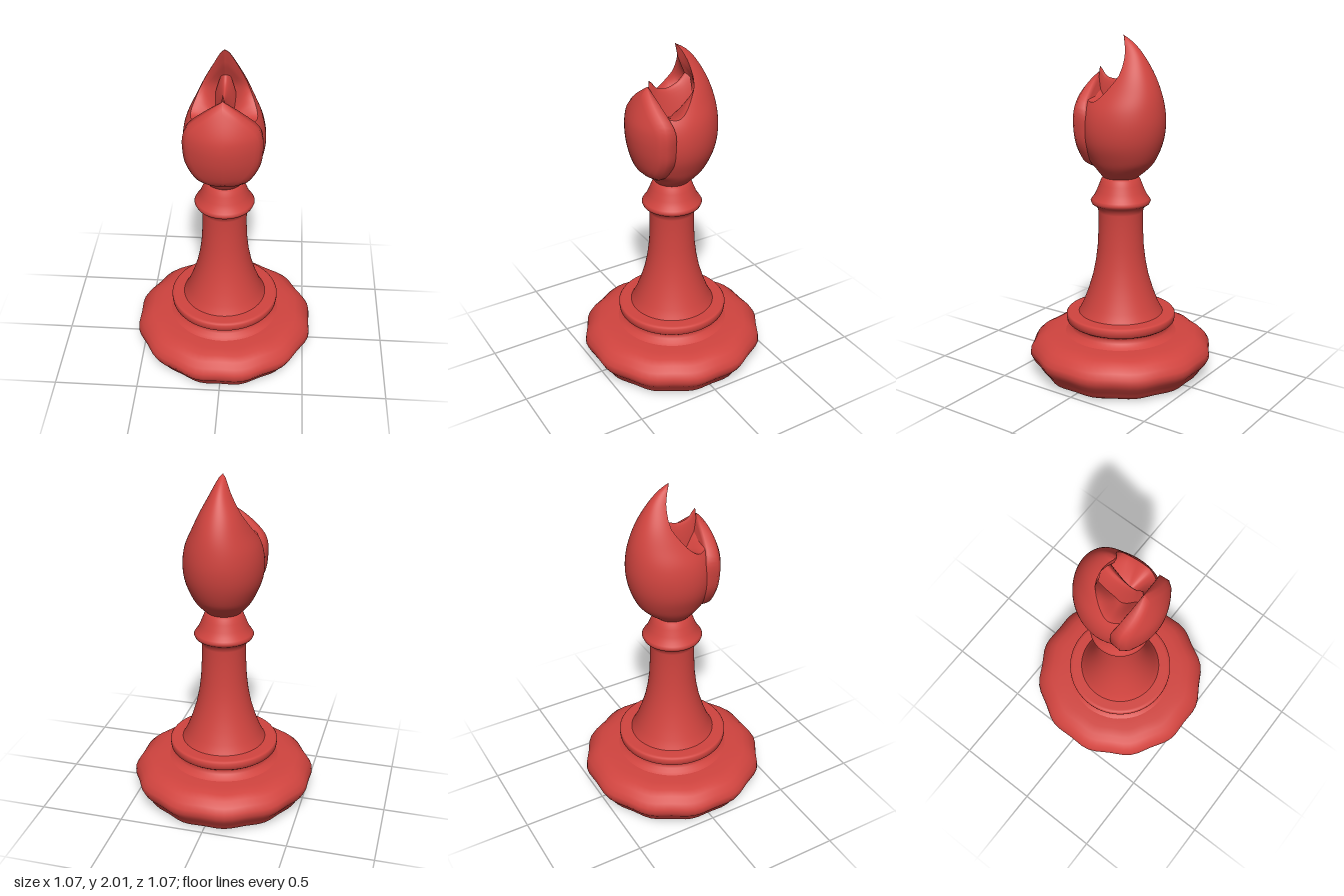
import * as THREE from 'three';
import { mergeVertices } from 'three/addons/utils/BufferGeometryUtils.js';

// Smooth interpolation through rows [key, value, value...]
function sample(rows, k, col = 1) {
  const n = rows.length - 1;
  if (k <= rows[0][0]) return rows[0][col];
  if (k >= rows[n][0]) return rows[n][col];
  let i = 0;
  while (k > rows[i + 1][0]) i++;
  const slope = (j) => {
    const a = rows[Math.max(0, j - 1)], b = rows[Math.min(n, j + 1)];
    return (b[col] - a[col]) / (b[0] - a[0]);
  };
  const h = rows[i + 1][0] - rows[i][0], t = (k - rows[i][0]) / h;
  const t2 = t * t, t3 = t2 * t;
  return (2 * t3 - 3 * t2 + 1) * rows[i][col] + (t3 - 2 * t2 + t) * h * slope(i)
    + (3 * t2 - 2 * t3) * rows[i + 1][col] + (t3 - t2) * h * slope(i + 1);
}

// Surface from a rule point(u, v) with u and v from 0 to 1
function surface(nu, nv, point) {
  const pos = [], idx = [];
  for (let j = 0; j <= nv; j++)
    for (let i = 0; i <= nu; i++) pos.push(...point(i / nu, j / nv));
  for (let j = 0; j < nv; j++)
    for (let i = 0; i < nu; i++) {
      const a = j * (nu + 1) + i, d = a + nu + 1;
      idx.push(a, a + 1, d + 1, a, d + 1, d);
    }
  const g = new THREE.BufferGeometry();
  g.setAttribute('position', new THREE.Float32BufferAttribute(pos, 3));
  g.setIndex(idx);
  const merged = mergeVertices(g, 1e-5);
  merged.computeVertexNormals();
  return merged;
}

function lathe(points) {
  return new THREE.LatheGeometry(points.map(([r, y]) => new THREE.Vector2(r, y)), 72);
}

// Head cross-sections: height, half width, back z, front z, centre z
const HEAD = [
  [1.17, 0.07, -0.07, 0.07, 0], [1.2, 0.105, -0.105, 0.105, 0], [1.25, 0.15, -0.165, 0.14, 0],
  [1.3, 0.18, -0.208, 0.185, 0], [1.4, 0.22, -0.25, 0.225, 0], [1.5, 0.23, -0.268, 0.237, 0],
  [1.6, 0.213, -0.265, 0.225, -0.01], [1.7, 0.166, -0.245, 0.19, -0.04],
  [1.8, 0.115, -0.205, 0.14, -0.07], [1.9, 0.062, -0.145, 0.02, -0.058],
  [1.96, 0.033, -0.09, 0, -0.035], [1.99, 0.015, -0.045, -0.005, -0.023], [2, 0, -0.02, -0.02, -0.02],
];
// Rim height of the notch by angle from the front, in degrees
const RIM = [[0, 1.73], [20, 1.71], [40, 1.67], [58, 1.645], [72, 1.65], [82, 1.7], [89, 1.78],
  [96, 1.88], [104, 1.96], [114, 2], [180, 2]];

function headPoint(angle, y) {
  const c = sample(HEAD, y, 4), cos = Math.cos(angle);
  const depth = cos > 0 ? sample(HEAD, y, 3) - c : c - sample(HEAD, y, 2);
  return [sample(HEAD, y) * Math.sin(angle), y, c + depth * cos];
}
const rimHeight = (angle) => sample(RIM, Math.abs(angle) * 180 / Math.PI);
const headAngle = (u) => (u * 2 - 1) * Math.PI;

function notchPoint(u, s) {
  const angle = headAngle(u), rim = headPoint(angle, rimHeight(angle));
  const back = THREE.MathUtils.smoothstep(rim[1], 1.7, 1.9);
  const drop = THREE.MathUtils.lerp(s * s * (3 - 2 * s), Math.pow(s, 0.6), back);
  return [
    rim[0] * (1 - s),
    THREE.MathUtils.lerp(rim[1], 1.6, drop),
    THREE.MathUtils.lerp(rim[2], 0.03, s) - 0.1 * back * Math.sin(Math.PI * s),
  ];
}

// Front shield: height, half width, front z, back z
const SHIELD = [[1.24, 0, 0.145, 0.1], [1.26, 0.085, 0.17, 0.1], [1.3, 0.142, 0.21, 0.1],
  [1.4, 0.203, 0.246, 0.1], [1.5, 0.219, 0.261, 0.1], [1.58, 0.216, 0.258, 0.1],
  [1.64, 0.188, 0.24, 0.115], [1.72, 0.098, 0.203, 0.135], [1.79, 0, 0.165, 0.15]];

function shieldPoint(u, v) {
  const a = u * Math.PI * 2, mid = 1.515;
  const edgeY = mid + 0.275 * Math.cos(a);
  const edgeX = -sample(SHIELD, edgeY) * Math.sign(Math.round(Math.sin(a) * 1e6));
  const front = v > 0.4;
  const s = front ? (1 - v) / 0.5 : v / 0.4;
  const k = Math.min(1, s);
  const x = edgeX * k, y = mid + (edgeY - mid) * k;
  if (!front) return [x * 0.98, y, sample(SHIELD, y, 3)];
  const bevel = s >= 1 ? 0.012 : 0;
  return [x, y, sample(SHIELD, y, 2) - 0.08 * (x / 0.21) ** 2 - bevel];
}

// Inner ridge: z, top height, half width
const RIDGE = [[-0.1, 1.85, 0.085], [-0.05, 1.795, 0.075], [0, 1.768, 0.06], [0.05, 1.76, 0.046],
  [0.1, 1.775, 0.033], [0.135, 1.815, 0.024], [0.147, 1.8, 0.02], [0.156, 1.58, 0.012]];

function ridgePoint(u, v) {
  const z = 0.156 - 0.256 * v, x = u * 2 - 1, top = sample(RIDGE, z);
  return [x * sample(RIDGE, z, 2), top - (top - 1.58) * Math.abs(x) ** 1.6, z];
}

export function createModel() {
  const group = new THREE.Group();
  const red = new THREE.MeshStandardMaterial({ color: 0xd1443f });
  red.name = 'red';
  const add = (name, geometry) => {
    const mesh = new THREE.Mesh(geometry, red);
    mesh.name = name;
    group.add(mesh);
  };

  // Heavy foot with a softly twelve-sided outline
  const foot = lathe([[0.45, 0.008], [0.468, 0.018], [0.482, 0.04], [0.497, 0.065], [0.522, 0.095],
    [0.54, 0.13], [0.536, 0.16], [0.518, 0.19], [0.487, 0.22], [0.45, 0.238], [0.4, 0.247],
    [0.33, 0.25], [0.24, 0.252]]);
  const p = foot.attributes.position;
  for (let i = 0; i < p.count; i++) {
    const k = 1 - 0.014 * Math.cos(12 * Math.atan2(p.getX(i), p.getZ(i)));
    p.setXYZ(i, p.getX(i) * k, p.getY(i), p.getZ(i) * k);
  }
  add('foot', foot);
  add('footUnderside', lathe([[0, 0], [0.43, 0.002], [0.458, 0.012]]));

  // Collar above the foot
  add('collarNeck', lathe([[0.335, 0.248], [0.315, 0.258], [0.295, 0.275], [0.287, 0.295], [0.295, 0.312], [0.315, 0.318]]));
  add('collar', lathe([[0.28, 0.313], [0.312, 0.316], [0.322, 0.325], [0.325, 0.345], [0.325, 0.362], [0.319, 0.37], [0.305, 0.374], [0.2, 0.376]]));

  // Flared stem and the ring under the head
  add('stem', lathe([[0.252, 0.372], [0.242, 0.39], [0.222, 0.43], [0.192, 0.51], [0.165, 0.6],
    [0.147, 0.69], [0.136, 0.78], [0.131, 0.88], [0.13, 0.99], [0.136, 1.015], [0.152, 1.03]]));
  add('neckRing', lathe([[0.12, 1.012], [0.143, 1.024], [0.168, 1.04], [0.175, 1.056], [0.167, 1.07],
    [0.153, 1.088], [0.14, 1.115], [0.124, 1.155], [0.112, 1.185], [0.1, 1.2], [0.06, 1.21]]));

  // Hooded head with an open notch, its inner ridge and front shield
  add('head', surface(120, 48, (u, v) => {
    const angle = headAngle(u);
    return headPoint(angle, 1.17 + (rimHeight(angle) - 1.17) * v);
  }));
  add('notch', surface(120, 16, notchPoint));
  add('innerRidge', surface(16, 40, ridgePoint));
  add('frontShield', surface(72, 20, shieldPoint));
  return group;
}
